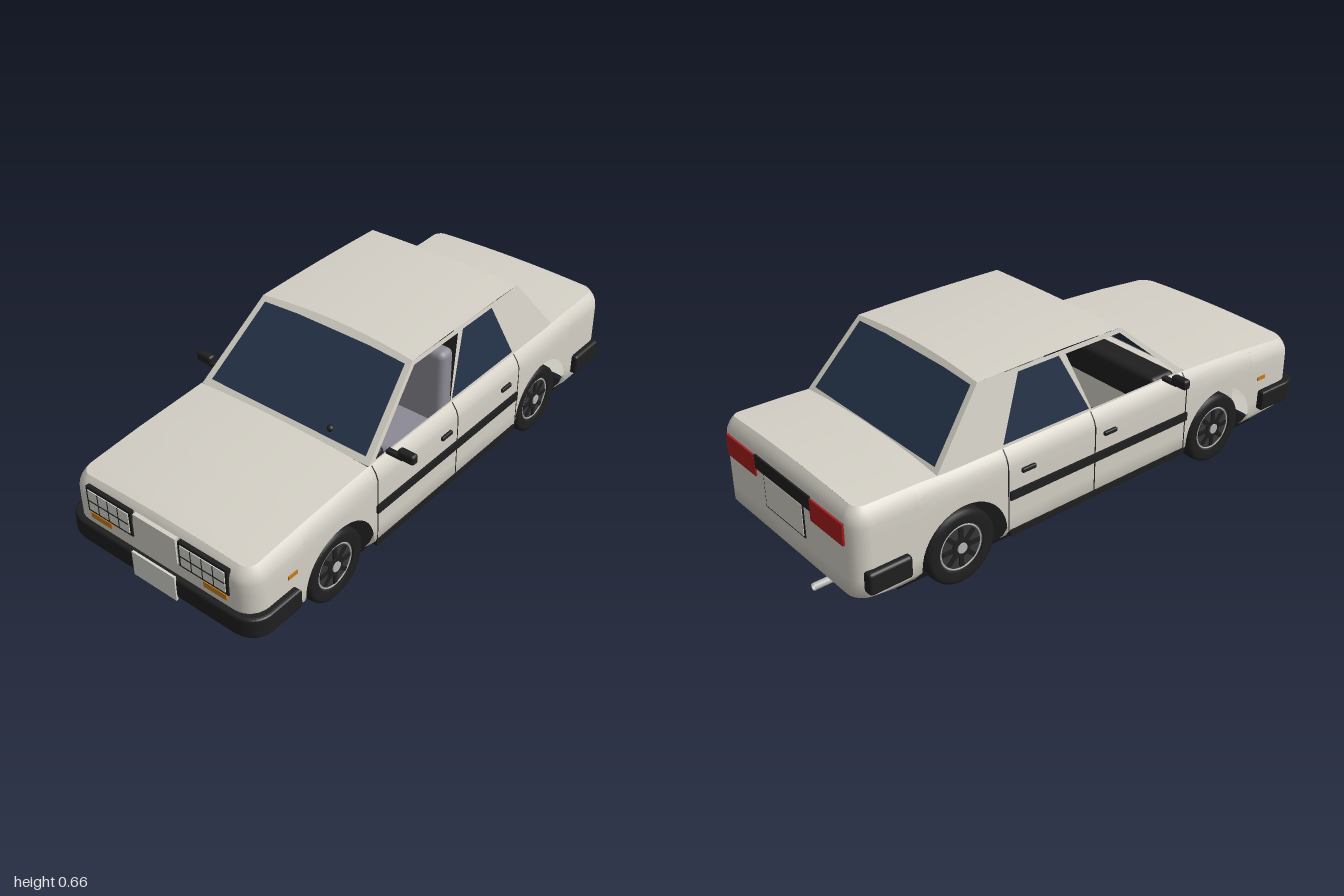
import * as THREE from 'three';
import { RoundedBoxGeometry } from 'three/addons/geometries/RoundedBoxGeometry.js';

const mat = (name, color) => {
  const m = new THREE.MeshStandardMaterial({ color, side: THREE.DoubleSide });
  m.name = name;
  return m;
};
const lerp = THREE.MathUtils.lerp;

// surface grid: fn(i, j) gives the point at column i, row j
function grid(nu, nv, fn) {
  const pos = [], idx = [];
  for (let i = 0; i <= nu; i++) for (let j = 0; j <= nv; j++) pos.push(...fn(i, j));
  for (let i = 0; i < nu; i++) for (let j = 0; j < nv; j++) {
    const a = i * (nv + 1) + j, b = a + nv + 1;
    idx.push(a, b, a + 1, b, b + 1, a + 1);
  }
  const g = new THREE.BufferGeometry();
  g.setAttribute('position', new THREE.Float32BufferAttribute(pos, 3));
  g.setIndex(idx);
  g.computeVertexNormals();
  return g;
}

// flat outline with holes, each point placed in space by map(a, b)
function panel(outline, holes, map) {
  const vec = (l) => l.map((p) => new THREE.Vector2(...p));
  const shape = new THREE.Shape(vec(outline));
  holes.forEach((h) => shape.holes.push(new THREE.Path(vec(h))));
  const g = new THREE.ShapeGeometry(shape), p = g.attributes.position;
  for (let i = 0; i < p.count; i++) p.setXYZ(i, ...map(p.getX(i), p.getY(i)));
  g.computeVertexNormals();
  return g;
}

// height of the body's upper edge
const TOP = [[0.975, 0.38], [0.7, 0.405], [0.41, 0.422], [-0.6, 0.42], [-0.7, 0.425], [-0.96, 0.43]];
function topY(x, z) {
  let i = 0;
  while (i < TOP.length - 2 && z < TOP[i + 1][0]) i++;
  const [z0, y0] = TOP[i], [z1, y1] = TOP[i + 1];
  return lerp(y0, y1, (z - z0) / (z1 - z0)) + 0.012 * (1 - (x / 0.385) ** 2);
}

// stations around half of the plan, from front centre to rear centre
const WHEEL_Z = [0.58, -0.56], ARCH = 0.165, WHEEL_Y = 0.135, LOW = 0.085;
function planStations() {
  const st = [];
  const add = (x, z, nx, nz, low = LOW) => st.push({ x, z, nx, nz, low });
  for (const x of [0, 0.1, 0.2]) add(x, 0.975, 0, 1);
  for (let i = 0; i <= 6; i++) {
    const a = (i / 6) * Math.PI / 2;
    add(0.315 + 0.07 * Math.sin(a), 0.905 + 0.07 * Math.cos(a), Math.sin(a), Math.cos(a));
  }
  add(0.385, 0.83, 1, 0);
  WHEEL_Z.forEach((c, k) => {
    if (k) for (const z of [0.2, 0, -0.2]) add(0.385, z, 1, 0);
    add(0.385, c + ARCH, 1, 0);
    for (let i = 0; i <= 20; i++) {
      const a = (i / 20) * Math.PI;
      add(0.385, c + ARCH * Math.cos(a), 1, 0, WHEEL_Y + ARCH * Math.sin(a));
    }
    add(0.385, c - ARCH, 1, 0);
  });
  add(0.385, -0.82, 1, 0);
  for (let i = 0; i <= 6; i++) {
    const a = (i / 6) * Math.PI / 2;
    add(0.325 + 0.06 * Math.cos(a), -0.895 - 0.06 * Math.sin(a), Math.cos(a), -Math.sin(a));
  }
  for (const x of [0.2, 0.1, 0]) add(x, -0.955, 0, -1);
  return st;
}

// point on the body skin: rounded shoulder above, tucked under below
function skin(st, y) {
  const e = Math.max(0, 0.06 - (topY(st.x, st.z) - y)) / 0.06;
  const q = Math.max(0, 0.13 - y) / 0.045;
  const d = 0.028 * e * e;
  let z = st.z - d * st.nz;
  const over = Math.max(0, Math.abs(z) - 0.75);
  z -= Math.sign(z) * over * 0.68 * q;
  return [st.x - (d + 0.04 * q) * st.nx - 0.03 * q * (1 - st.nx) * (st.x / 0.385), y, z];
}

export function createModel() {
  const car = new THREE.Group();
  car.name = 'car';
  const paint = mat('paint', 0xd4d0c6), glass = mat('glass', 0x243247), black = mat('blackTrim', 0x1f1f20);
  const under = mat('underbody', 0x131313), orange = mat('orangeLens', 0xc47d1c), red = mat('redLens', 0xa31c1c);
  const lens = mat('clearLens', 0xd6d6cf), metal = mat('metal', 0xb4b4b2), cloth = mat('seatCloth', 0x8c8a94);
  const rim = mat('rim', 0x353638);

  const add = (name, geo, m, x = 0, y = 0, z = 0, parent = car) => {
    const mesh = new THREE.Mesh(geo, m);
    mesh.name = name;
    mesh.position.set(x, y, z);
    parent.add(mesh);
    return mesh;
  };
  // box given by its extents
  const box = (name, m, x0, x1, y0, y1, z0, z1, r = 0) => {
    const s = [Math.abs(x1 - x0), y1 - y0, z1 - z0];
    const g = r ? new RoundedBoxGeometry(...s, 3, r) : new THREE.BoxGeometry(...s);
    return add(name, g, m, (x0 + x1) / 2, (y0 + y1) / 2, (z0 + z1) / 2);
  };

  // lower body, hood and boot lid
  const st = planStations();
  const rows = [0, 0.05, 0.13, 0.3, 0.5, 0.7, 0.82, 0.88, 0.93, 0.97, 1];
  for (const s of [1, -1]) add('bodySide', grid(st.length - 1, rows.length - 1, (i, j) => {
    const p = skin(st[i], lerp(st[i].low, topY(st[i].x, st[i].z), rows[j]));
    return [s * p[0], p[1], p[2]];
  }), paint);
  const deck = (name, list) => add(name, grid(list.length - 1, 16, (i, j) => {
    const a = list[i], u = j / 8 - 1, e = skin(a, topY(a.x, a.z));
    return [u * e[0], topY(u * a.x, a.z), e[2]];
  }), paint);
  deck('hood', st.filter((a) => a.z > 0.41 && a.x > 0.31));
  deck('bootLid', [{ x: 0.385, z: -0.62, nx: 1, nz: 0 }, ...st.filter((a) => a.z < -0.63 && a.x > 0.32)]);
  box('floor', under, -0.345, 0.345, 0.076, 0.084, -0.79, 0.81);
  box('engineBay', paint, -0.26, 0.26, 0.09, 0.36, 0.41, 0.8);

  // cabin: roof, windscreen, rear window and side frames
  const Y0 = 0.42, Y1 = 0.652;
  const t = (y) => (y - Y0) / (Y1 - Y0);
  const frontZ = (y) => lerp(0.41, 0.14, t(y)), rearZ = (y) => lerp(-0.64, -0.45, t(y));
  const sideX = (y) => lerp(0.357, 0.315, t(y));
  const crown = (u) => Y1 + 0.012 * (1 - u * u);
  add('roof', grid(8, 16, (i, j) => {
    const u = j / 8 - 1, y = crown(u), k = i / 8;
    return [0.315 * u, y + 0.004 * Math.sin(k * Math.PI), lerp(frontZ(y), rearZ(y), k)];
  }), paint);
  const end = [[-0.357, Y0], [0.357, Y0]];
  for (let i = 0; i <= 16; i++) end.push([0.315 * (1 - i / 8), crown(1 - i / 8)]);
  const pane = [[-0.33, 0.436], [0.33, 0.436], [0.295, 0.64], [0.15, 0.645], [-0.15, 0.645], [-0.295, 0.64]];
  for (const [name, zf] of [['windscreen', frontZ], ['rearWindow', rearZ]]) {
    add(name + 'Frame', panel(end, [pane], (x, y) => [x, y, zf(y)]), paint);
    add(name, panel(pane, [], (x, y) => [x, y, zf(y)]), glass);
  }
  const frontWin = [[0.375, 0.427], [-0.018, 0.427], [-0.1, 0.636], [0.135, 0.636]];
  const rearWin = [[-0.028, 0.43], [-0.385, 0.43], [-0.294, 0.638], [-0.128, 0.638]];
  const frame = [[0.41, Y0], [0.14, Y1], [-0.45, Y1], [-0.64, Y0]];
  for (const s of [1, -1]) {
    const map = (z, y) => [s * sideX(y), y, z];
    add('sideFrame', panel(frame, [frontWin, rearWin], map), paint);
    add('rearDoorGlass', panel(rearWin, [], map), glass);

    // door gaps, mouldings, handles and mirrors
    for (const z of [0.4, -0.025, -0.39]) add('doorGap', grid(1, 12, (i, j) => {
      const p = skin({ x: 0.385, z, nx: 1, nz: 0 }, lerp(0.13, 0.42, j / 12));
      return [s * (p[0] + 0.0015), p[1], z + (i - 0.5) * 0.005];
    }), black);
    box('sideMoulding', black, s * 0.38, s * 0.393, 0.245, 0.275, -0.385, 0.405);
    box('sillMoulding', black, s * 0.365, s * 0.388, 0.108, 0.132, -0.385, 0.405);
    for (const z of [0.04, -0.31]) box('doorHandle', black, s * 0.375, s * 0.395, 0.327, 0.343, z - 0.028, z + 0.028, 0.005);
    box('mirrorArm', black, s * 0.355, s * 0.42, 0.42, 0.432, 0.305, 0.325);
    box('mirror', black, s * 0.4, s * 0.466, 0.422, 0.458, 0.3, 0.33, 0.01);
    box('sideMarker', orange, s * 0.38, s * 0.388, 0.268, 0.282, 0.78, 0.82);
    box('rearBumperEnd', black, s * 0.36, s * 0.408, 0.147, 0.225, -0.925, -0.77, 0.012);

    // headlamps with a cross-bar grid, and indicators
    const h = s * 0.2;
    box('headlampFrame', black, h - 0.1, h + 0.1, 0.274, 0.371, 0.965, 0.98);
    box('headlampLens', lens, h - 0.09, h + 0.09, 0.284, 0.361, 0.975, 0.983);
    for (const k of [-0.045, 0, 0.045]) box('lampBar', black, h + k - 0.001, h + k + 0.001, 0.284, 0.361, 0.98, 0.985);
    box('lampBar', black, h - 0.09, h + 0.09, 0.319, 0.322, 0.98, 0.985);
    box('indicator', orange, s * 0.197, s * 0.29, 0.25, 0.271, 0.968, 0.981);

    // tail lamps and front seats
    box('tailLamp', red, s * 0.16, s * 0.335, 0.305, 0.38, -0.961, -0.945);
    box('seatBack', cloth, s * 0.07, s * 0.27, 0.2, 0.53, -0.16, -0.09, 0.025);
    box('seatCushion', cloth, s * 0.07, s * 0.27, 0.15, 0.25, -0.12, 0.14, 0.025);
    box('headrest', cloth, s * 0.12, s * 0.22, 0.53, 0.59, -0.15, -0.11, 0.015);
  }

  // nose and tail details
  box('grille', paint, -0.09, 0.09, 0.275, 0.37, 0.965, 0.98);
  box('frontPlate', lens, -0.092, 0.092, 0.14, 0.234, 0.992, 1.0);
  box('tailPanel', black, -0.16, 0.16, 0.335, 0.385, -0.96, -0.945);
  box('rearPlateEdge', black, -0.115, 0.115, 0.215, 0.335, -0.958, -0.945);
  box('rearPlate', paint, -0.109, 0.109, 0.221, 0.333, -0.96, -0.947);
  add('exhaust', new THREE.CylinderGeometry(0.012, 0.012, 0.14, 16, 1, true), metal, -0.21, 0.11, -0.93).rotation.x = Math.PI / 2;

  // wrap-around front bumper
  const b = new THREE.Shape();
  b.moveTo(0.4, 0.8).lineTo(0.4, 0.92).quadraticCurveTo(0.395, 0.982, 0.32, 0.985).lineTo(-0.32, 0.985);
  b.quadraticCurveTo(-0.395, 0.982, -0.4, 0.92).lineTo(-0.4, 0.8).lineTo(-0.375, 0.8).lineTo(-0.375, 0.9);
  b.lineTo(-0.31, 0.955).lineTo(0.31, 0.955).lineTo(0.375, 0.9).lineTo(0.375, 0.8).closePath();
  const bumper = new THREE.ExtrudeGeometry(b, { depth: 0.056, bevelSize: 0.01, bevelThickness: 0.01, bevelSegments: 3, curveSegments: 10 });
  add('frontBumper', bumper.rotateX(Math.PI / 2), black, 0, 0.214, 0);

  // dashboard, steering wheel and mirror inside
  box('dashboard', black, -0.33, 0.33, 0.3, 0.415, 0.29, 0.4, 0.02);
  add('steeringWheel', new THREE.TorusGeometry(0.058, 0.007, 8, 28), black, 0.17, 0.468, 0.255).rotation.x = 0.5;
  box('steeringHub', black, 0.115, 0.225, 0.46, 0.475, 0.25, 0.262);
  box('innerMirror', black, -0.05, 0.05, 0.6, 0.625, 0.092, 0.1);
  add('screenKnob', new THREE.SphereGeometry(0.012, 14, 10), black, 0.17, 0.455, frontZ(0.455));

  // wheels: grooved tyre, dark rim, bright ring, spokes and cap
  const tyre = [[0.085, -0.04], [0.115, -0.045], [0.128, -0.036], [0.13, -0.018], [0.124, -0.015], [0.13, -0.012],
    [0.13, 0.012], [0.124, 0.015], [0.13, 0.018], [0.128, 0.036], [0.115, 0.045], [0.085, 0.04]];
  const tyreGeo = new THREE.LatheGeometry(tyre.map((p) => new THREE.Vector2(...p)), 40).rotateZ(-Math.PI / 2);
  const disc = (r, w) => new THREE.CylinderGeometry(r, r, w, 32).rotateZ(Math.PI / 2);
  for (const s of [1, -1]) for (const z of WHEEL_Z) {
    const wheel = new THREE.Group();
    wheel.name = 'wheel';
    wheel.position.set(s * 0.325, 0.134, z);
    wheel.rotation.y = s > 0 ? 0 : Math.PI;
    car.add(wheel);
    add('tyre', tyreGeo, black, 0, 0, 0, wheel);
    add('rim', disc(0.086, 0.066), rim, 0, 0, 0, wheel);
    add('rimRing', new THREE.TorusGeometry(0.078, 0.003, 6, 40).rotateY(Math.PI / 2), metal, 0.034, 0, 0, wheel);
    add('hub', disc(0.034, 0.012), black, 0.034, 0, 0, wheel);
    add('hubCap', disc(0.018, 0.02), metal, 0.034, 0, 0, wheel);
    for (let i = 0; i < 8; i++) {
      const a = (i / 8) * Math.PI * 2;
      const spoke = new THREE.BoxGeometry(0.008, 0.038, 0.016);
      add('spoke', spoke, black, 0.034, 0.052 * Math.cos(a), 0.052 * Math.sin(a), wheel).rotation.x = a;
    }
  }
  return car;
}
